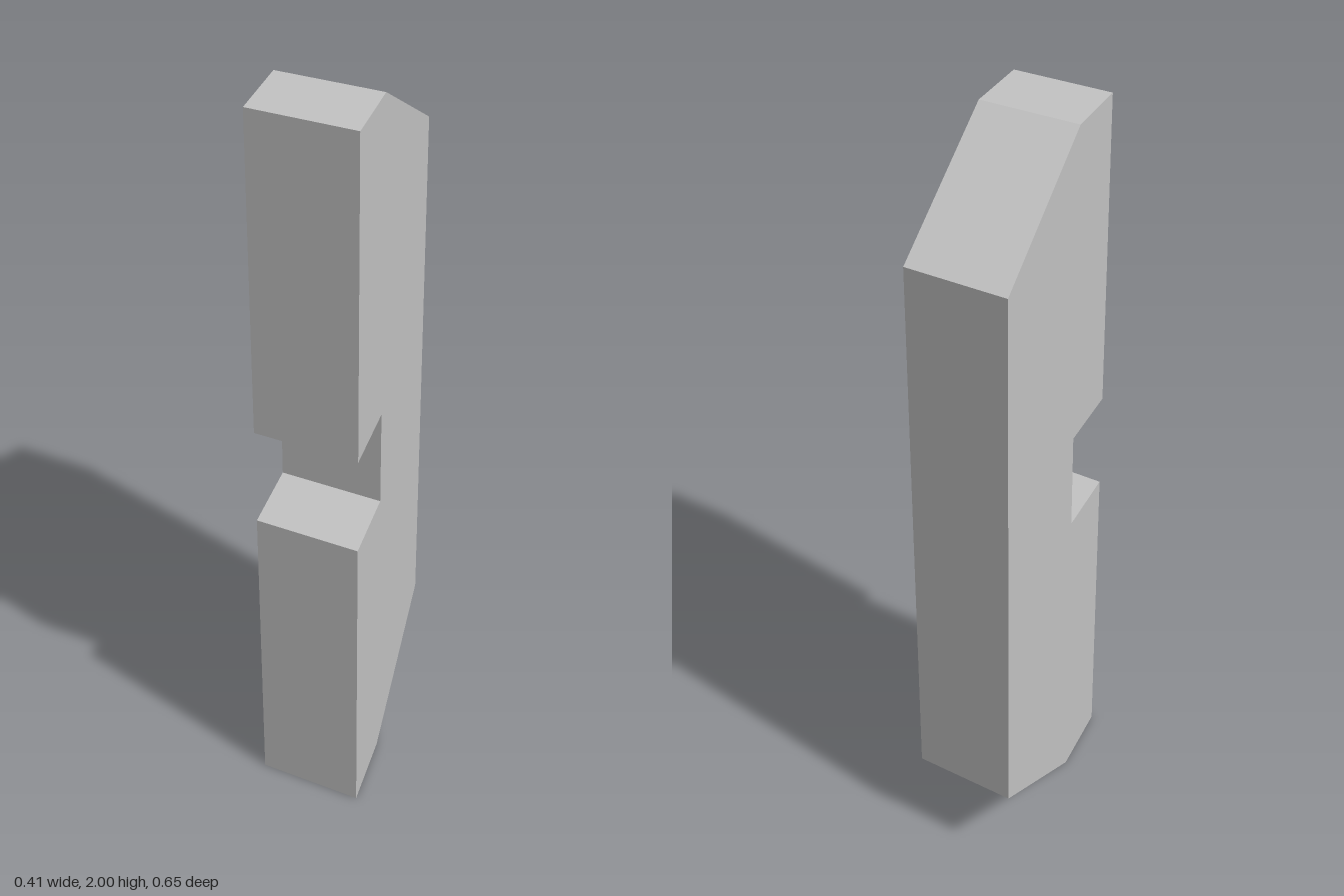
import * as THREE from 'three';

export function createModel() {
  const group = new THREE.Group();
  const grey = new THREE.MeshStandardMaterial({ color: 0xc4c4c4 });
  grey.name = 'plain grey';

  // Side profile as (z, y): chamfered back corners and a square notch in the front edge
  const front = 0.325, back = -0.325, inner = 0.108;
  const profile = new THREE.Shape([
    [inner, 0], [front, 0], [front, 0.865], [inner, 0.865],
    [inner, 1.135], [front, 1.135], [front, 2], [inner, 2],
    [back, 1.756], [back, 0.244],
  ].map(([z, y]) => new THREE.Vector2(z, y)));

  // Extrude across x, then shear so the front sits further to +x
  const width = 0.288, slope = 0.191;
  const geometry = new THREE.ExtrudeGeometry(profile, { depth: width, bevelEnabled: false });
  geometry.rotateY(-Math.PI / 2);
  geometry.translate(width / 2, 0, 0);
  geometry.applyMatrix4(new THREE.Matrix4().set(
    1, 0, slope, 0,
    0, 1, 0, 0,
    0, 0, 1, 0,
    0, 0, 0, 1,
  ));
  geometry.computeVertexNormals();

  const slab = new THREE.Mesh(geometry, grey);
  slab.name = 'notchedSlab';
  group.add(slab);
  return group;
}
